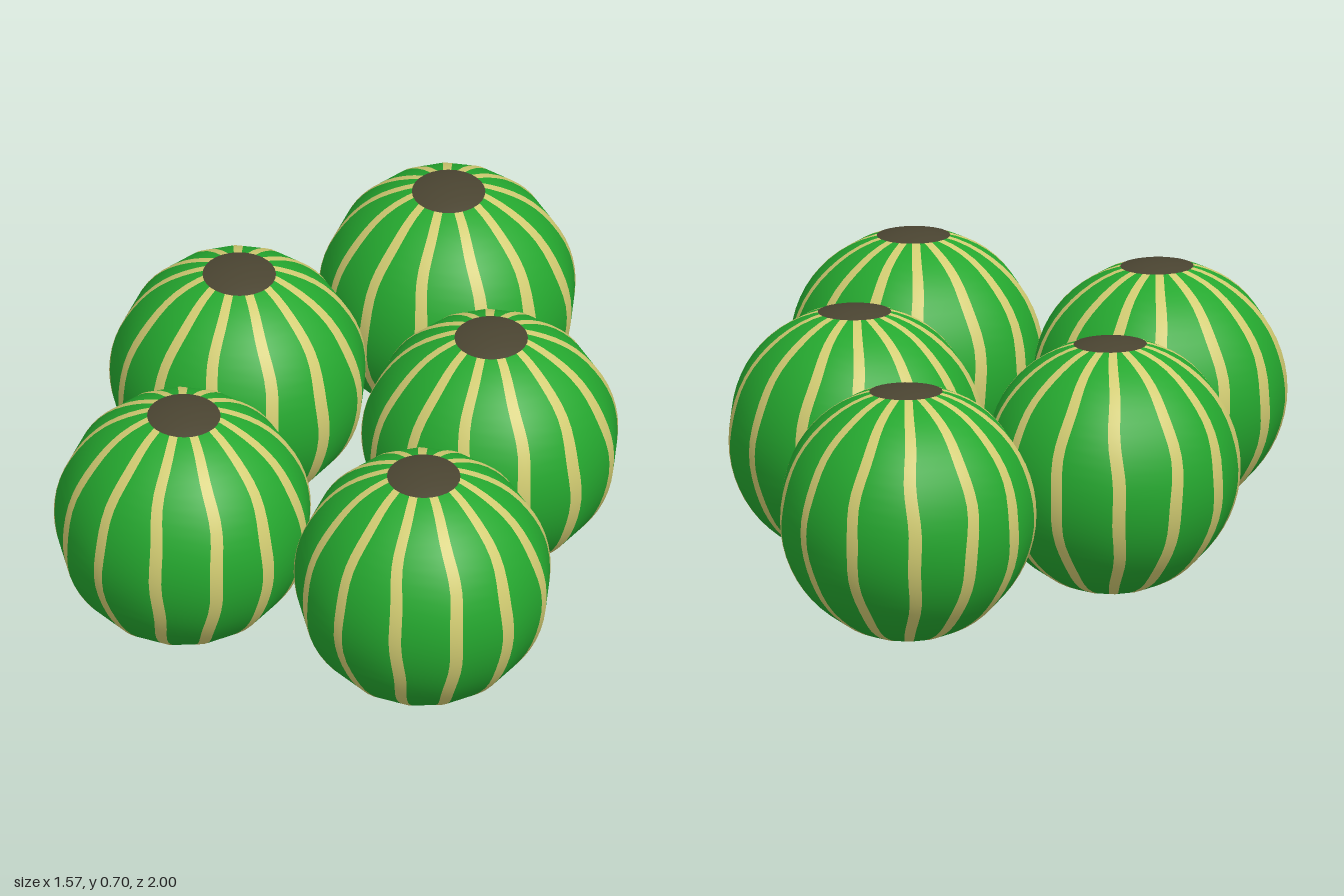
import * as THREE from 'three';

const R = 0.35, SIDES = 13, ROWS = 28;
const STEP = (Math.PI * 2) / SIDES;
const PHI0 = 0.14; // the rind's open ends are hidden under the caps

// distance from the axis to the 13-sided outline (a corner points to -z)
function outline(theta) {
  const t = (((theta - Math.PI) % STEP) + STEP) % STEP;
  return Math.cos(STEP / 2) / Math.cos(t - STEP / 2);
}

// centre line and half width of stripe k at polar angle phi, with a gentle wobble
function stripe(k, phi) {
  const s = Math.sin(phi);
  const corner = Math.PI + k * STEP;
  const centre = corner - 0.03 + 0.02 * Math.sin(phi * 3 + k * 2.1) + 0.01 * Math.sin(phi * 9 + k * 1.3);
  const half = (0.009 + 0.009 * s) / (R * s);
  const lo = centre - half, hi = centre + half;
  return { lo, hi, mid: Math.min(Math.max(corner, lo + half * 0.1), hi - half * 0.1) };
}

// gores running from pole to pole; columns(k, phi) gives the angles across gore k
function goreGeometry(columns) {
  const pos = [], nor = [], idx = [];
  for (let k = 0; k < SIDES; k++) {
    const start = pos.length / 3;
    let n = 0;
    for (let i = 0; i <= ROWS; i++) {
      const phi = PHI0 + ((Math.PI - 2 * PHI0) * i) / ROWS;
      const angles = columns(k, phi);
      n = angles.length;
      for (const a of angles) {
        const r = R * Math.sin(phi) * outline(a);
        pos.push(r * Math.sin(a), R * Math.cos(phi), r * Math.cos(a));
        nor.push(Math.sin(phi) * Math.sin(a), Math.cos(phi), Math.sin(phi) * Math.cos(a));
      }
    }
    for (let i = 0; i < ROWS; i++) {
      for (let j = 0; j < n - 1; j++) {
        const a = start + i * n + j, b = a + n;
        idx.push(a, b, b + 1, a, b + 1, a + 1);
      }
    }
  }
  const g = new THREE.BufferGeometry();
  g.setAttribute('position', new THREE.Float32BufferAttribute(pos, 3));
  g.setAttribute('normal', new THREE.Float32BufferAttribute(nor, 3));
  g.setIndex(idx);
  return g;
}

function material(name, color) {
  const m = new THREE.MeshStandardMaterial({ color });
  m.name = name;
  return m;
}

export function createModel() {
  const green = material('rindGreen', 0x25a82f);
  const yellow = material('stripeYellow', 0xd2cc72);
  const brown = material('capBrown', 0x4a4431);

  const rindGeo = goreGeometry((k, phi) => {
    const next = stripe((k + 1) % SIDES, phi).lo + (k === SIDES - 1 ? Math.PI * 2 : 0);
    return [stripe(k, phi).hi, next];
  });
  const stripeGeo = goreGeometry((k, phi) => {
    const s = stripe(k, phi);
    return [s.lo, s.mid, s.hi];
  });
  // shallow dome covering each pole
  const capGeo = new THREE.SphereGeometry(R + 0.001, 28, 5, 0, Math.PI * 2, 0, 0.287);

  const model = new THREE.Group();
  model.name = 'melons';

  function add(parent, name, geo, mat) {
    const mesh = new THREE.Mesh(geo, mat);
    mesh.name = name;
    parent.add(mesh);
    return mesh;
  }

  // back melon, middle pair, front pair
  const places = [[-0.1, -0.65], [-0.44, -0.04], [0.31, -0.04], [-0.28, 0.66], [0.434, 0.66]];
  places.forEach(([x, z], i) => {
    const melon = new THREE.Group();
    melon.name = 'melon' + (i + 1);
    melon.position.set(x, R + 0.001, z);
    add(melon, 'rind', rindGeo, green);
    add(melon, 'stripes', stripeGeo, yellow);
    // caps sit slightly off the pole
    add(melon, 'topCap', capGeo, brown).rotation.set(0.05, 0, -0.03);
    add(melon, 'bottomCap', capGeo, brown).rotation.set(Math.PI, 0, 0);
    model.add(melon);
  });
  return model;
}
